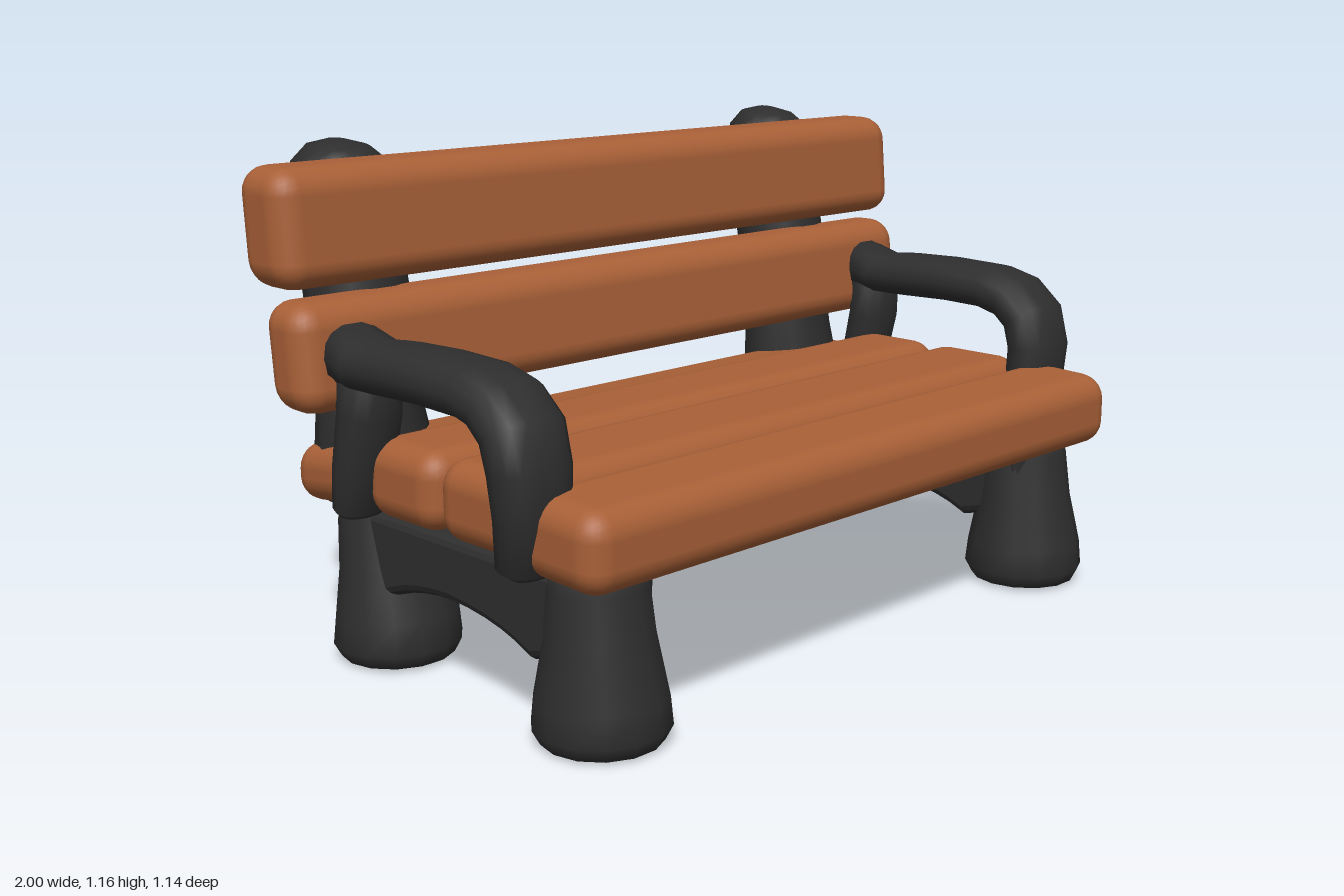
import * as THREE from 'three';
import { RoundedBoxGeometry } from 'three/addons/geometries/RoundedBoxGeometry.js';

const wood = new THREE.MeshStandardMaterial({ color: 0xa86037 });
wood.name = 'warm wood';
const iron = new THREE.MeshStandardMaterial({ color: 0x2e2e2e });
iron.name = 'dark iron';

function addMesh(parent, name, geometry, material, x = 0) {
  const mesh = new THREE.Mesh(geometry, material);
  mesh.name = name;
  mesh.position.x = x;
  parent.add(mesh);
}

// Sweep of rounded sections along a path in the y-z plane.
// Each ring is [y, z, half width in x, half thickness, optional x shift].
function sweep(rings, sides = 14, power = 1) {
  const pos = [], index = [], n = rings.length;
  const round = (v) => Math.sign(v) * Math.abs(v) ** power;
  rings.forEach(([y, z, rx, rv, x = 0], i) => {
    const a = rings[Math.max(i - 1, 0)], b = rings[Math.min(i + 1, n - 1)];
    const len = Math.hypot(b[0] - a[0], b[1] - a[1]);
    const ty = (b[0] - a[0]) / len, tz = (b[1] - a[1]) / len;
    for (let j = 0; j < sides; j++) {
      const t = (j / sides) * Math.PI * 2;
      const s = round(Math.sin(t)) * rv;
      pos.push(x + round(Math.cos(t)) * rx, y + s * tz, z - s * ty);
    }
  });
  for (let i = 0; i < n - 1; i++) {
    for (let j = 0; j < sides; j++) {
      const k = (j + 1) % sides;
      const a = i * sides + j, b = i * sides + k;
      index.push(a, b, b + sides, a, b + sides, a + sides);
    }
  }
  // End caps
  const first = rings[0], last = rings[n - 1], c = n * sides;
  pos.push(first[4] || 0, first[0], first[1], last[4] || 0, last[0], last[1]);
  for (let j = 0; j < sides; j++) {
    const k = (j + 1) % sides, top = (n - 1) * sides;
    index.push(c, k, j, c + 1, top + j, top + k);
  }
  const g = new THREE.BufferGeometry();
  g.setAttribute('position', new THREE.Float32BufferAttribute(pos, 3));
  g.setIndex(index);
  g.computeVertexNormals();
  return g;
}

// Soft-edged plank; lean shifts z with height, slope shifts y with depth.
function plank(halfLength, y0, y1, z0, z1, lean = 0, slope = 0) {
  const g = new RoundedBoxGeometry(halfLength * 2, y1 - y0, z1 - z0, 3, 0.06);
  g.applyMatrix4(new THREE.Matrix4().set(
    1, 0, 0, 0,
    0, 1, slope, (y0 + y1) / 2,
    0, lean, 1, (z0 + z1) / 2,
    0, 0, 0, 1));
  return g;
}

// Flared foot: bottom at depth z, top at depth zTop
const foot = (z, zTop) => sweep([
  [0, z, 0.1, 0.1], [0.008, z, 0.13, 0.13], [0.04, z, 0.148, 0.146],
  [0.1, z, 0.142, 0.14], [0.22, (z + zTop) / 2, 0.122, 0.112],
  [0.33, zTop, 0.112, 0.1], [0.375, zTop, 0.1, 0.09],
]);

// Arched beam joining front and back feet
function beam() {
  const s = new THREE.Shape();
  s.moveTo(-0.34, 0.34);
  s.lineTo(-0.32, 0.22);
  s.lineTo(-0.22, 0.18);
  s.quadraticCurveTo(-0.12, 0.235, 0.03, 0.237);
  s.quadraticCurveTo(0.2, 0.23, 0.3, 0.18);
  s.lineTo(0.45, 0.22);
  s.lineTo(0.46, 0.34);
  const g = new THREE.ExtrudeGeometry(s, {
    depth: 0.11, bevelEnabled: true, bevelThickness: 0.04, bevelSize: 0.025,
    bevelSegments: 3, curveSegments: 5,
  });
  g.translate(0, 0, -0.055);
  g.rotateY(-Math.PI / 2);
  return g;
}

// Backward-leaning post with a domed top
const post = () => sweep([
  [0.355, -0.362, 0.115, 0.1], [0.375, -0.365, 0.135, 0.12],
  [0.48, -0.372, 0.139, 0.118], [0.56, -0.382, 0.126, 0.112],
  [0.8, -0.41, 0.121, 0.117], [1.06, -0.464, 0.122, 0.11],
  [1.115, -0.468, 0.108, 0.096], [1.145, -0.466, 0.075, 0.068],
  [1.156, -0.464, 0.03, 0.028],
]);

// Armrest: front upright, bend, and flat top running into the backrest.
// The base tucks in towards the seat.
const arm = (side) => sweep([
  [0.355, 0.335, 0.05, 0.03, -0.02 * side], [0.375, 0.337, 0.075, 0.048, -0.015 * side],
  [0.48, 0.358, 0.084, 0.06, -0.008 * side], [0.58, 0.362, 0.092, 0.06],
  [0.655, 0.342, 0.095, 0.06], [0.7, 0.29, 0.095, 0.058],
  [0.718, 0.22, 0.095, 0.056], [0.722, 0.08, 0.095, 0.056],
  [0.718, -0.06, 0.095, 0.056], [0.713, -0.15, 0.09, 0.053],
  [0.732, -0.25, 0.075, 0.068],
], 14, 0.8);

// Rear upright of the armrest
const armSupport = () => sweep([
  [0.365, -0.232, 0.05, 0.03], [0.38, -0.23, 0.065, 0.045],
  [0.47, -0.213, 0.07, 0.055], [0.6, -0.183, 0.072, 0.058],
  [0.72, -0.18, 0.07, 0.06],
], 12, 0.85);

export function createModel() {
  const bench = new THREE.Group();
  bench.name = 'bench';

  // Seat and back planks
  const planks = [
    ['seatPlankFront', 0.88, 0.358, 0.535, 0.332, 0.572, 0, -0.04],
    ['seatPlankMiddleFront', 0.86, 0.366, 0.546, 0.05, 0.328],
    ['seatPlankMiddleBack', 0.86, 0.366, 0.546, -0.205, 0.046],
    ['seatPlankBack', 0.84, 0.362, 0.505, -0.425, -0.2, 0, 0.1],
    ['backPlankLower', 0.992, 0.6, 0.842, -0.364, -0.212, -0.1],
    ['backPlankUpper', 1, 0.864, 1.126, -0.43, -0.252, -0.08],
  ];
  for (const [name, ...size] of planks) addMesh(bench, name, plank(...size), wood);

  // Iron side frames; the right rear foot stands a little further forward
  for (const side of [1, -1]) {
    const frame = new THREE.Group();
    frame.name = side > 0 ? 'leftFrame' : 'rightFrame';
    bench.add(frame);
    const rearFoot = side > 0 ? foot(-0.367, -0.365) : foot(-0.27, -0.3);
    const parts = [
      ['frontFoot', foot(0.425, 0.418), 0.73],
      ['rearFoot', rearFoot, 0.73],
      ['footBeam', beam(), 0.72],
      ['backPost', post(), 0.707],
      ['armrest', arm(side), 0.853],
      ['armrestSupport', armSupport(), 0.845],
    ];
    for (const [name, geometry, x] of parts) addMesh(frame, name, geometry, iron, side * x);
    // Wider plank end wrapping the outside of the post
    addMesh(frame, 'seatPlankEnd', plank(0.07, 0.36, 0.5, -0.472, -0.22, 0, 0.12), wood, side * 0.797);
  }
  return bench;
}
